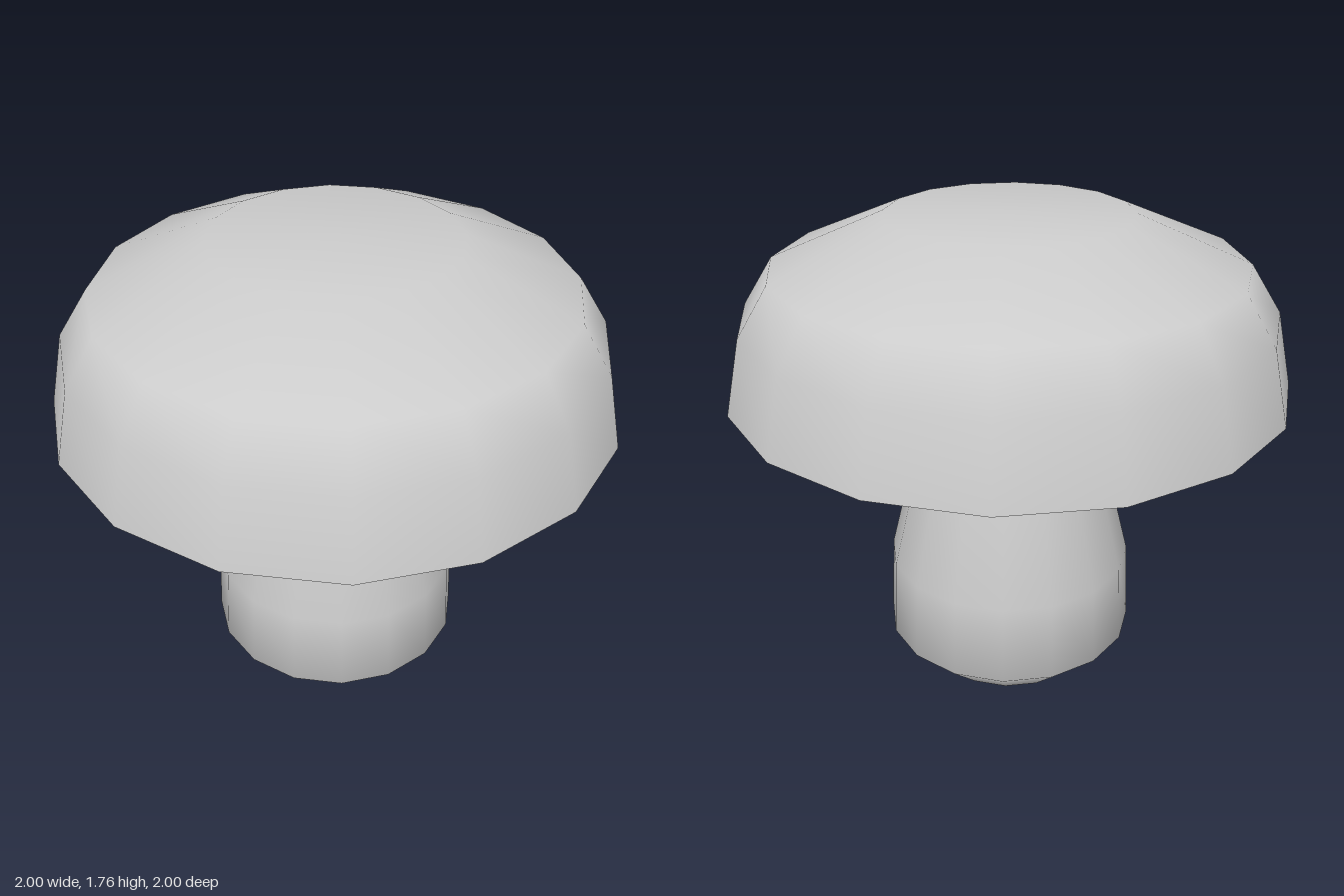
import * as THREE from 'three';

const SIDES = 16;

// Smooth surface of revolution; profile points run [radius, height], outward-facing
function turned(name, profile) {
  const points = profile.map(([r, y]) => new THREE.Vector2(r, y));
  const material = new THREE.MeshStandardMaterial({ color: 0xcccccc });
  const mesh = new THREE.Mesh(new THREE.LatheGeometry(points, SIDES), material);
  mesh.name = name;
  return mesh;
}

export function createModel() {
  const mushroom = new THREE.Group();
  mushroom.name = 'mushroom';

  // Bulbous stem with a flat closed base, tapering up to the cap
  mushroom.add(turned('stem', [
    [0, 0], [0.31, 0], [0.47, 0.15], [0.455, 0.45], [0.368, 0.8], [0.28, 1.145],
  ]));

  // Cap: domed top with a flattened crown, and a nearly flat underside
  const cap = new THREE.Group();
  cap.name = 'cap';
  cap.add(turned('capTop', [
    [1, 1.155], [0.94, 1.42], [0.83, 1.59], [0.43, 1.76], [0, 1.76],
  ]));
  cap.add(turned('capUnderside', [[0.28, 1.145], [0.5, 1.148], [1, 1.155]]));
  mushroom.add(cap);

  return mushroom;
}
